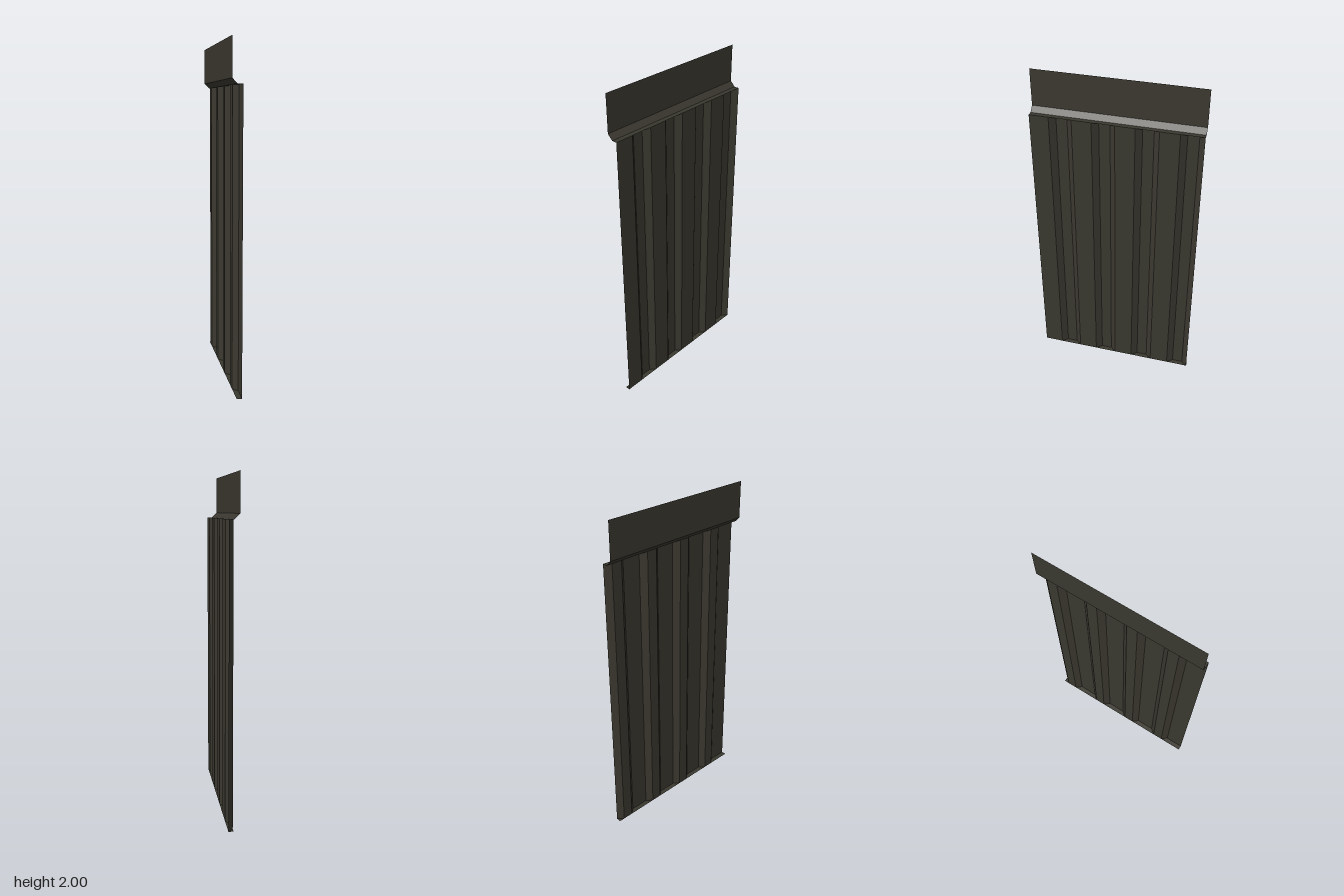
import * as THREE from 'three';

const HALF = 0.5;        // half the sheet width along z
const PANEL_TOP = 1.75;
const RIDGE = 0.03;      // x of the ridges; valleys lie at x = 0

// Thin folded sheet: sweeps a polyline of points along a straight vector, one flat quad per fold
function foldedSheet(points, sweep, material, name) {
  const pos = [];
  for (let i = 0; i < points.length - 1; i++) {
    const a = points[i], b = points[i + 1];
    const c = b.clone().add(sweep), d = a.clone().add(sweep);
    for (const p of [a, b, c, a, c, d]) pos.push(p.x, p.y, p.z);
  }
  const geometry = new THREE.BufferGeometry();
  geometry.setAttribute('position', new THREE.Float32BufferAttribute(pos, 3));
  geometry.computeVertexNormals();
  const mesh = new THREE.Mesh(geometry, material);
  mesh.name = name;
  return mesh;
}

export function createModel() {
  const group = new THREE.Group();
  group.name = 'corrugatedWallPanel';
  const metal = new THREE.MeshStandardMaterial({ color: 0x3a382f, side: THREE.DoubleSide });
  metal.name = 'dark olive metal';

  // Corrugated panel: four wide ridges, each followed by a narrow valley
  const profile = [new THREE.Vector3(RIDGE, 0, HALF)];
  for (let i = 0; i < 4; i++) {
    const z = HALF - i * 0.25;
    for (const [dz, x] of [[0.115, RIDGE], [0.15, 0], [0.215, 0], [0.25, RIDGE]]) {
      profile.push(new THREE.Vector3(x, 0, z - dz));
    }
  }
  group.add(foldedSheet(profile, new THREE.Vector3(0, PANEL_TOP, 0), metal, 'corrugatedPanel'));

  // Top flashing: ledge over the corrugation, sloped fold, upright strip
  const along = new THREE.Vector3(0, 0, -2 * HALF);
  const flashing = [[RIDGE, PANEL_TOP], [0, PANEL_TOP], [-0.03, 1.78], [-0.03, 2]]
    .map(([x, y]) => new THREE.Vector3(x, y, HALF)).reverse();
  group.add(foldedSheet(flashing, along, metal, 'topFlashing'));

  // Bottom closing strip
  const strip = [new THREE.Vector3(0, 0, HALF), new THREE.Vector3(RIDGE, 0, HALF)];
  group.add(foldedSheet(strip, along, metal, 'bottomStrip'));

  return group;
}
